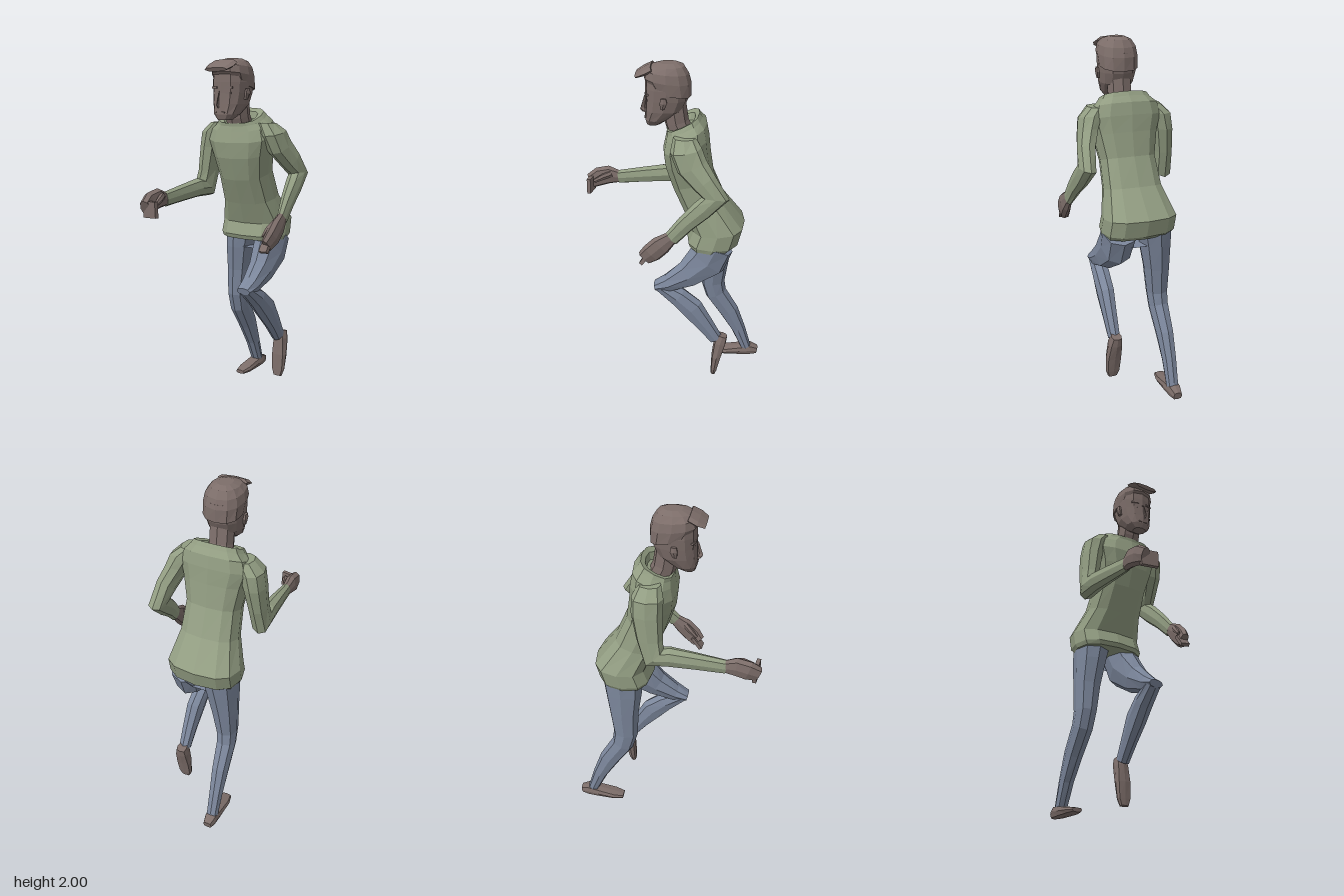
import * as THREE from 'three';

const skin = new THREE.MeshStandardMaterial({ color: 0x7d6e6a });
skin.name = 'skin';
const shirt = new THREE.MeshStandardMaterial({ color: 0x929d82 });
shirt.name = 'shirt';
const denim = new THREE.MeshStandardMaterial({ color: 0x7c879c });
denim.name = 'denim';

// Faceted mesh: every face gets its own normal
function flatMesh(name, geometry, material) {
  const g = geometry.index ? geometry.toNonIndexed() : geometry;
  g.computeVertexNormals();
  const mesh = new THREE.Mesh(g, material);
  mesh.name = name;
  return mesh;
}

// Skin through oval rings [x, y, z, halfWidth, halfDepth, tilt?].
// Rings follow the path unless a tilt about x is given (0 = level, PI = level going down).
function loft(name, rings, material, sides = 8, power = 0.85) {
  const centres = rings.map(r => new THREE.Vector3(r[0], r[1], r[2]));
  const pos = [], index = [];
  rings.forEach((r, i) => {
    const t = r[5] !== undefined
      ? new THREE.Vector3(0, Math.cos(r[5]), Math.sin(r[5]))
      : centres[Math.min(i + 1, rings.length - 1)].clone().sub(centres[Math.max(i - 1, 0)]).normalize();
    const side = new THREE.Vector3(1, 0, 0).addScaledVector(t, -t.x).normalize();
    const front = side.clone().cross(t);
    for (let j = 0; j < sides; j++) {
      const a = j / sides * Math.PI * 2, c = Math.cos(a), s = Math.sin(a);
      const p = centres[i].clone()
        .addScaledVector(side, r[3] * Math.sign(c) * Math.abs(c) ** power)
        .addScaledVector(front, r[4] * Math.sign(s) * Math.abs(s) ** power);
      pos.push(p.x, p.y, p.z);
    }
  });
  const last = (rings.length - 1) * sides, capA = rings.length * sides, capB = capA + 1;
  pos.push(...centres[0].toArray(), ...centres[rings.length - 1].toArray());
  for (let j = 0; j < sides; j++) {
    const k = (j + 1) % sides;
    for (let i = 0; i < last; i += sides) {
      index.push(i + j, i + sides + j, i + k, i + k, i + sides + j, i + sides + k);
    }
    index.push(capA, j, k, capB, last + k, last + j);
  }
  const g = new THREE.BufferGeometry();
  g.setAttribute('position', new THREE.Float32BufferAttribute(pos, 3));
  g.setIndex(index);
  return flatMesh(name, g, material);
}

function box(name, size, at, rot = [0, 0, 0], material = skin) {
  const mesh = flatMesh(name, new THREE.BoxGeometry(...size), material);
  mesh.position.set(...at);
  mesh.rotation.set(...rot);
  return mesh;
}

function makeHead() {
  const head = new THREE.Group();
  head.name = 'head';
  const cx = -0.017;
  head.add(loft('neck', [
    [-0.02, 1.58, -0.05, 0.075, 0.07, 0.3], [-0.018, 1.68, -0.008, 0.068, 0.066, 0.2],
    [cx, 1.79, 0.01, 0.068, 0.068, 0]], skin));
  head.add(loft('face', [
    [cx, 1.663, 0.12, 0.04, 0.035, 0], [cx, 1.695, 0.1, 0.072, 0.065, 0],
    [cx, 1.75, 0.06, 0.092, 0.103, 0], [cx, 1.81, 0.045, 0.1, 0.116, 0],
    [cx, 1.87, 0.04, 0.104, 0.122, 0], [cx, 1.92, 0.04, 0.1, 0.12, 0]], skin, 12));
  // Hair cap sits just proud of the skull, with a swept front lock
  head.add(loft('hair', [
    [cx, 1.845, 0.02, 0.106, 0.108, -0.2], [cx, 1.91, 0.042, 0.109, 0.129, -0.12],
    [cx, 1.955, 0.045, 0.1, 0.118, -0.08], [cx, 1.985, 0.042, 0.076, 0.09, 0],
    [cx, 2, 0.035, 0.04, 0.05, 0]], skin, 12));
  head.add(loft('frontLock', [
    [cx, 1.975, 0.12, 0.085, 0.02], [cx, 1.955, 0.165, 0.092, 0.018],
    [cx, 1.935, 0.205, 0.075, 0.012]], skin));
  head.add(loft('nose', [
    [cx, 1.82, 0.158, 0.01, 0.01, 0], [cx, 1.745, 0.17, 0.018, 0.022, 0],
    [cx, 1.73, 0.165, 0.014, 0.014, 0]], skin, 6));
  head.add(box('mouth', [0.055, 0.008, 0.02], [cx, 1.705, 0.156]));
  for (const s of [-1, 1]) {
    head.add(box('eye', [0.032, 0.01, 0.02], [cx + s * 0.042, 1.81, 0.141], [0, s * 0.3, 0]));
    head.add(box('eyebrow', [0.045, 0.01, 0.02], [cx + s * 0.045, 1.84, 0.146], [0, s * 0.3, 0]));
    head.add(loft('ear', [
      [cx + s * 0.1, 1.775, 0.06, 0.01, 0.012, 0], [cx + s * 0.107, 1.81, 0.055, 0.012, 0.022, 0],
      [cx + s * 0.108, 1.835, 0.055, 0.008, 0.016, 0]], skin, 6));
  }
  return head;
}

export function createModel() {
  const model = new THREE.Group();
  model.name = 'runner';
  model.add(makeHead());

  // Sweater body, leaning forward, its collar rolled inwards at the top
  model.add(loft('sweater', [
    [-0.035, 0.95, -0.215, 0.2, 0.135, 0], [-0.037, 0.975, -0.225, 0.21, 0.155, 0],
    [-0.04, 1.06, -0.25, 0.208, 0.155, 0.08], [-0.03, 1.2, -0.165, 0.165, 0.122, 0.25],
    [-0.025, 1.35, -0.1, 0.155, 0.122, 0.3], [-0.022, 1.48, -0.07, 0.18, 0.132, 0.3],
    [-0.024, 1.57, -0.06, 0.205, 0.132, 0.3], [-0.024, 1.635, -0.06, 0.185, 0.12, 0.35],
    [-0.02, 1.665, -0.05, 0.15, 0.105, 0.4], [-0.02, 1.685, -0.042, 0.135, 0.1, 0.45],
    [-0.02, 1.675, -0.038, 0.1, 0.08, 0.45], [-0.02, 1.64, -0.04, 0.08, 0.07, 0.45]], shirt, 12, 0.75));

  // Sleeves: the right reaches forward, the left swings back
  const down = Math.PI;
  model.add(loft('rightSleeve', [
    [-0.18, 1.645, -0.06, 0.05, 0.06, down], [-0.225, 1.59, -0.065, 0.065, 0.085, down],
    [-0.245, 1.5, -0.065, 0.058, 0.085, down], [-0.262, 1.36, -0.05, 0.05, 0.073, down],
    [-0.273, 1.255, -0.025, 0.051, 0.075, down * 0.75], [-0.27, 1.26, 0.06, 0.048, 0.055],
    [-0.265, 1.245, 0.2, 0.038, 0.049], [-0.26, 1.225, 0.365, 0.026, 0.042]], shirt));
  model.add(loft('leftSleeve', [
    [0.14, 1.645, -0.06, 0.05, 0.06, down], [0.18, 1.59, -0.07, 0.065, 0.085, down + 0.2],
    [0.205, 1.51, -0.105, 0.058, 0.085, down + 0.45], [0.235, 1.43, -0.175, 0.05, 0.07],
    [0.252, 1.35, -0.235, 0.046, 0.075], [0.262, 1.285, -0.165, 0.043, 0.058],
    [0.275, 1.205, -0.08, 0.034, 0.05], [0.289, 1.115, 0, 0.022, 0.043]], shirt));

  // Right hand with fingers folded inwards
  const rightHand = new THREE.Group();
  rightHand.name = 'rightHand';
  rightHand.add(
    loft('palm', [
      [-0.26, 1.225, 0.345, 0.022, 0.035], [-0.264, 1.235, 0.42, 0.032, 0.058],
      [-0.265, 1.22, 0.48, 0.032, 0.06], [-0.25, 1.195, 0.535, 0.03, 0.046]], skin),
    box('fingers', [0.1, 0.09, 0.022], [-0.222, 1.19, 0.526], [0, -0.15, 0.05]),
    loft('thumb', [
      [-0.24, 1.25, 0.405, 0.016, 0.02], [-0.216, 1.24, 0.45, 0.016, 0.018],
      [-0.202, 1.215, 0.505, 0.01, 0.012]], skin, 6));
  // Left hand hanging forward and down
  const leftHand = new THREE.Group();
  leftHand.name = 'leftHand';
  leftHand.add(
    loft('palm', [
      [0.288, 1.13, -0.01, 0.02, 0.036], [0.292, 1.075, 0.055, 0.03, 0.058],
      [0.29, 1.025, 0.105, 0.03, 0.058], [0.278, 0.985, 0.145, 0.025, 0.046]], skin),
    box('fingers', [0.055, 0.022, 0.088], [0.272, 0.985, 0.14], [0.95, 0, 0.15]),
    loft('thumb', [
      [0.275, 1.1, 0.06, 0.014, 0.018], [0.257, 1.065, 0.1, 0.014, 0.016],
      [0.25, 1.03, 0.135, 0.009, 0.011]], skin, 6));
  model.add(rightHand, leftHand);

  // Trousers: seat, planted right leg, lifted left thigh and shin
  model.add(loft('trouserSeat', [
    [-0.03, 1, -0.23, 0.19, 0.13, 0], [-0.03, 0.94, -0.225, 0.185, 0.125, 0],
    [-0.025, 0.89, -0.225, 0.11, 0.09, 0]], denim, 10));
  model.add(loft('rightLeg', [
    [-0.13, 0.98, -0.24, 0.1, 0.12, down], [-0.142, 0.88, -0.236, 0.088, 0.11, down],
    [-0.156, 0.73, -0.235, 0.073, 0.088, down], [-0.166, 0.57, -0.228, 0.06, 0.074],
    [-0.17, 0.48, -0.25, 0.056, 0.068], [-0.175, 0.34, -0.338, 0.049, 0.062],
    [-0.178, 0.2, -0.405, 0.041, 0.045], [-0.178, 0.055, -0.46, 0.036, 0.033]], denim));
  model.add(loft('leftThigh', [
    [0.075, 0.97, -0.24, 0.095, 0.11], [0.08, 0.87, -0.195, 0.086, 0.12],
    [0.092, 0.775, -0.085, 0.07, 0.085], [0.1, 0.71, 0.035, 0.056, 0.05],
    [0.1, 0.688, 0.11, 0.046, 0.022]], denim));
  model.add(loft('leftShin', [
    [0.1, 0.695, 0.085, 0.046, 0.035], [0.104, 0.62, -0.025, 0.052, 0.06],
    [0.108, 0.54, -0.11, 0.05, 0.073], [0.11, 0.43, -0.19, 0.042, 0.055],
    [0.11, 0.325, -0.26, 0.035, 0.042]], denim));

  // Shoes: one flat on the ground, one trailing with its toe down
  model.add(loft('rightShoe', [
    [-0.18, 0.028, -0.535, 0.026, 0.024], [-0.18, 0.036, -0.49, 0.038, 0.036],
    [-0.18, 0.03, -0.42, 0.043, 0.03], [-0.18, 0.02, -0.32, 0.045, 0.02],
    [-0.18, 0.015, -0.26, 0.03, 0.012]], skin, 8, 0.6));
  model.add(loft('leftShoe', [
    [0.11, 0.35, -0.302, 0.03, 0.03], [0.113, 0.3, -0.287, 0.04, 0.038],
    [0.116, 0.2, -0.268, 0.047, 0.03], [0.116, 0.105, -0.256, 0.043, 0.02],
    [0.116, 0.065, -0.25, 0.028, 0.014]], skin, 8, 0.6));
  return model;
}
